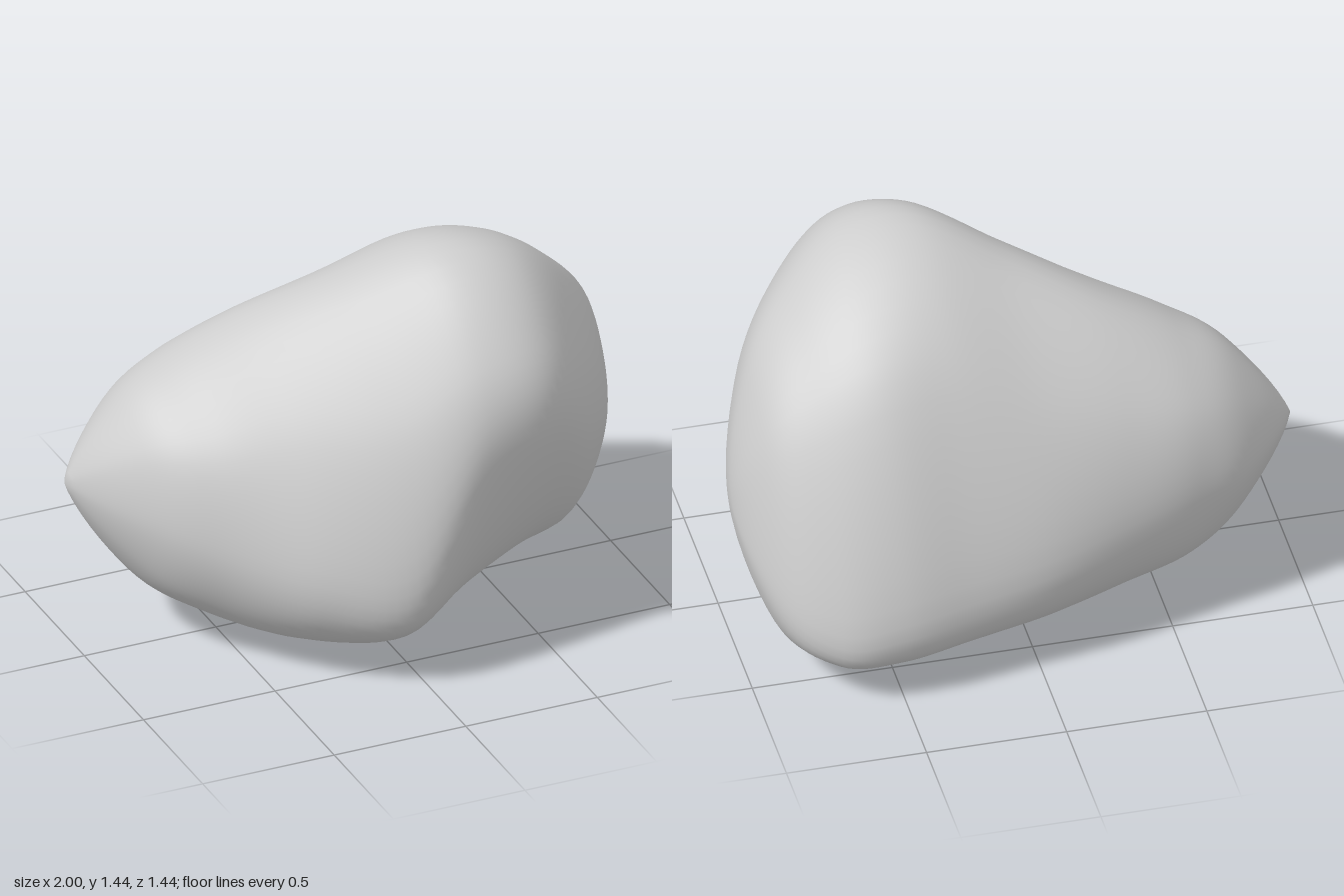
import * as THREE from 'three';
import { mergeVertices } from 'three/addons/utils/BufferGeometryUtils.js';

// Cross-sections along x: [x, then z,y pairs for
// bottom, low front, front, upper front, top, upper back, back, low back]
const SECTIONS = [
  [-0.8, -0.1, 0.26, 0.1, 0.34, 0.18, 0.54, 0.08, 0.78, -0.14, 0.89, -0.33, 0.78, -0.41, 0.56, -0.31, 0.35],
  [-0.6, -0.04, 0.12, 0.26, 0.22, 0.38, 0.47, 0.23, 0.84, -0.12, 1.03, -0.41, 0.86, -0.5, 0.53, -0.38, 0.22],
  [-0.35, 0, 0.03, 0.45, 0.15, 0.59, 0.42, 0.34, 0.91, -0.08, 1.16, -0.43, 0.91, -0.57, 0.47, -0.41, 0.15],
  [-0.05, 0, 0, 0.56, 0.14, 0.715, 0.4, 0.51, 0.95, 0.05, 1.3, -0.41, 0.99, -0.65, 0.41, -0.46, 0.1],
  [0.25, -0.05, 0.045, 0.47, 0.25, 0.66, 0.74, 0.57, 1.13, 0.17, 1.43, -0.35, 1.13, -0.69, 0.37, -0.5, 0.085],
  [0.5, -0.15, 0.055, 0.38, 0.31, 0.62, 0.82, 0.55, 1.16, 0.19, 1.4, -0.36, 1.11, -0.72, 0.34, -0.56, 0.085],
  [0.72, -0.22, 0.085, 0.25, 0.29, 0.46, 0.68, 0.41, 1.02, 0.12, 1.24, -0.34, 1.0, -0.69, 0.31, -0.56, 0.11],
  [0.9, -0.23, 0.21, 0.03, 0.34, 0.19, 0.61, 0.16, 0.85, 0, 1.0, -0.29, 0.85, -0.53, 0.39, -0.46, 0.23],
];
const TIP = new THREE.Vector3(-1, 0.6, -0.17);
const END = new THREE.Vector3(1, 0.58, -0.18);
const LANES = 8, RINGS = 72, SIDES = 64;

const spline = (points, closed) => new THREE.CatmullRomCurve3(points, closed, 'catmullrom', 0.5);

// Lengthwise curves, one per lane
function makeLanes() {
  const rings = SECTIONS.map(([x, ...zy]) =>
    Array.from({ length: LANES }, (_, k) => new THREE.Vector3(x, zy[2 * k + 1], zy[2 * k])));
  const last = rings[rings.length - 1];
  return Array.from({ length: LANES }, (_, k) => {
    // Guide points beyond the ends: blunt at the tip, fully round at the other end
    const before = TIP.clone().multiplyScalar(2).sub(rings[0][k]).setX(TIP.x);
    const after = END.clone().multiplyScalar(2).sub(last[k]).setX(last[k].x);
    return spline([before, TIP, ...rings.map((r) => r[k]), END, after], false);
  });
}

function makeRockGeometry() {
  const lanes = makeLanes();
  const spans = SECTIONS.length + 3;
  const positions = [], index = [];
  for (let i = 0; i <= RINGS; i++) {
    const t = (1 + (i / RINGS) * (spans - 2)) / spans;
    const ring = spline(lanes.map((lane) => lane.getPoint(t)), true);
    for (let j = 0; j < SIDES; j++) positions.push(...ring.getPoint(j / SIDES).toArray());
  }
  for (let i = 0; i < RINGS; i++) {
    for (let j = 0; j < SIDES; j++) {
      const a = i * SIDES + j, c = i * SIDES + ((j + 1) % SIDES);
      index.push(a, a + SIDES, c, c, a + SIDES, c + SIDES);
    }
  }
  let geometry = new THREE.BufferGeometry();
  geometry.setAttribute('position', new THREE.Float32BufferAttribute(positions, 3));
  geometry.setIndex(index);
  geometry = mergeVertices(geometry, 1e-5);
  geometry.computeVertexNormals();
  return geometry;
}

export function createModel() {
  const group = new THREE.Group();
  group.name = 'boulder';
  const rock = new THREE.Mesh(makeRockGeometry(), new THREE.MeshStandardMaterial({ color: 0xcccccc }));
  rock.name = 'rock';
  group.add(rock);
  return group;
}
